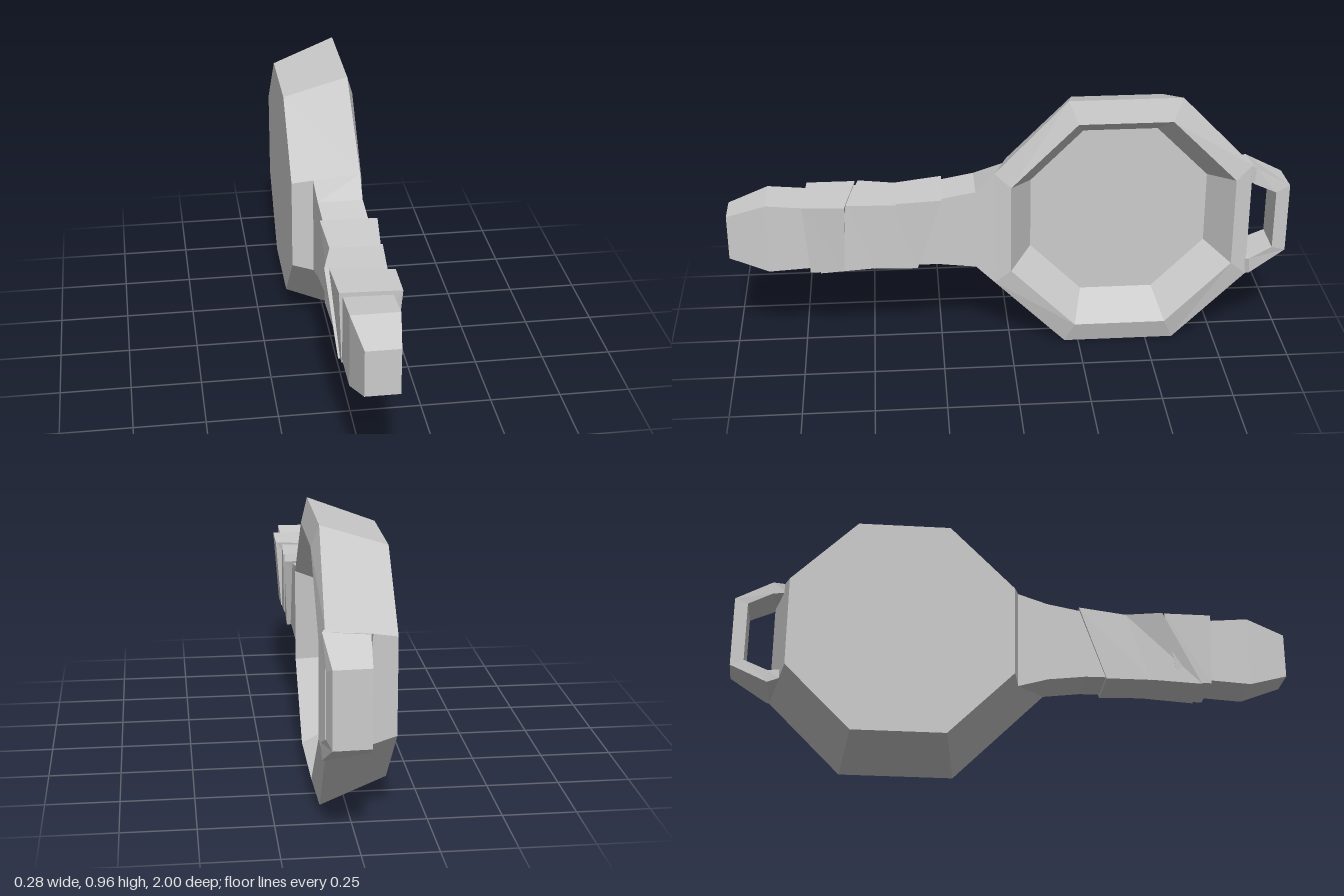
import * as THREE from 'three';

const material = new THREE.MeshStandardMaterial({ color: 0xcccccc, flatShading: true });

// Skin a list of rings (counter-clockwise seen from the far end) and cap both ends
function loft(name, rings) {
  const pos = [];
  const tri = (...pts) => pts.forEach((p) => pos.push(...p));
  const n = rings[0].length;
  for (let i = 0; i < rings.length - 1; i++) {
    const a = rings[i], b = rings[i + 1];
    for (let j = 0; j < n; j++) {
      const k = (j + 1) % n;
      tri(a[j], a[k], b[k]);
      tri(a[j], b[k], b[j]);
    }
  }
  const first = rings[0], last = rings[rings.length - 1];
  for (let j = 1; j < n - 1; j++) {
    tri(first[0], first[j + 1], first[j]);
    tri(last[0], last[j], last[j + 1]);
  }
  const geometry = new THREE.BufferGeometry();
  geometry.setAttribute('position', new THREE.Float32BufferAttribute(pos, 3));
  geometry.computeVertexNormals();
  const mesh = new THREE.Mesh(geometry, material);
  mesh.name = name;
  return mesh;
}

// Octagon facing +x: side corners (a, h) at xSide, top and bottom corners (k, b) at x
function octagon(x, a, h = a * 0.4142, b = a, k = h, xSide = x) {
  const p = (u, v, px) => [px, 0.48 + v, -0.4 - u];
  return [
    p(a, h, xSide), p(k, b, x), p(-k, b, x), p(-a, h, xSide),
    p(-a, -h, xSide), p(-k, -b, x), p(k, -b, x), p(a, -h, xSide),
  ];
}

// Rectangle facing +z
const rect = (z, x0, x1, y0, y1) => [[x0, y0, z], [x1, y0, z], [x1, y1, z], [x0, y1, z]];

// Skewed rectangle for the crooked grip bands: bottom and top edges have their own span and depth
const skew = (bottom, top) => {
  const [bx0, bx1, by, bz] = bottom;
  const [tx0, tx1, ty, tzLeft, tzRight] = top;
  return [[bx0, by, bz], [bx1, by, bz], [tx1, ty, tzRight], [tx0, ty, tzLeft]];
};

export function createModel() {
  const model = new THREE.Group();
  model.name = 'fryingPan';

  // Dish: base, outer rim, raised inner rim, sunken floor
  model.add(loft('dish', [
    octagon(-0.14, 0.4),
    octagon(0.088, 0.458, 0.217, 0.48, 0.2, 0.098),
    octagon(0.112, 0.4),
    octagon(-0.02, 0.32),
  ]));

  // Neck flaring out of the dish, handle core and tapered tip
  model.add(loft('handle', [
    [[-0.065, 0.298, 0.018], [0.098, 0.263, 0.058], [0.098, 0.697, 0.058], [-0.065, 0.662, 0.018]],
    rect(0.125, -0.062, 0.097, 0.33, 0.628),
    rect(0.26, -0.058, 0.1, 0.348, 0.605),
    rect(0.72, -0.06, 0.103, 0.352, 0.59),
    rect(0.86, -0.058, 0.105, 0.345, 0.604),
    rect(1, -0.032, 0.084, 0.393, 0.557),
  ]));

  // Crooked bands wrapped around the grip
  const bands = new THREE.Group();
  bands.name = 'gripBands';
  bands.add(
    loft('rearBand', [
      skew([-0.065, 0.115, 0.342, 0.335], [-0.07, 0.13, 0.616, 0.24, 0.245]),
      skew([-0.06, 0.108, 0.345, 0.5], [-0.06, 0.114, 0.6, 0.41, 0.415]),
    ]),
    loft('middleBand', [
      skew([-0.06, 0.112, 0.346, 0.49], [-0.06, 0.122, 0.6, 0.41, 0.405]),
      skew([-0.068, 0.112, 0.334, 0.68], [-0.095, 0.11, 0.597, 0.54, 0.575]),
    ]),
    loft('frontBand', [
      skew([-0.062, 0.115, 0.342, 0.595], [-0.08, 0.135, 0.602, 0.55, 0.585]),
      skew([-0.062, 0.115, 0.34, 0.715], [-0.072, 0.134, 0.606, 0.722, 0.732]),
    ]),
  );
  model.add(bands);

  // Hanging loop: upper arm, end bar and mirrored lower arm in one sweep
  const upper = [
    [[0.1, 0.635, -0.852], [-0.058, 0.63, -0.81], [-0.058, 0.664, -0.819], [0.098, 0.697, -0.858]],
    [[0.112, 0.63, -0.866], [-0.045, 0.63, -0.862], [-0.045, 0.675, -0.862], [0.108, 0.69, -0.87]],
    [[0.104, 0.59, -0.948], [-0.036, 0.59, -0.948], [-0.034, 0.61, -0.995], [0.09, 0.61, -1]],
  ];
  const lower = upper.map((ring) => ring.map(([x, y, z]) => [x, 0.96 - y, z])).reverse();
  model.add(loft('hangingLoop', [...upper, ...lower]));

  return model;
}
